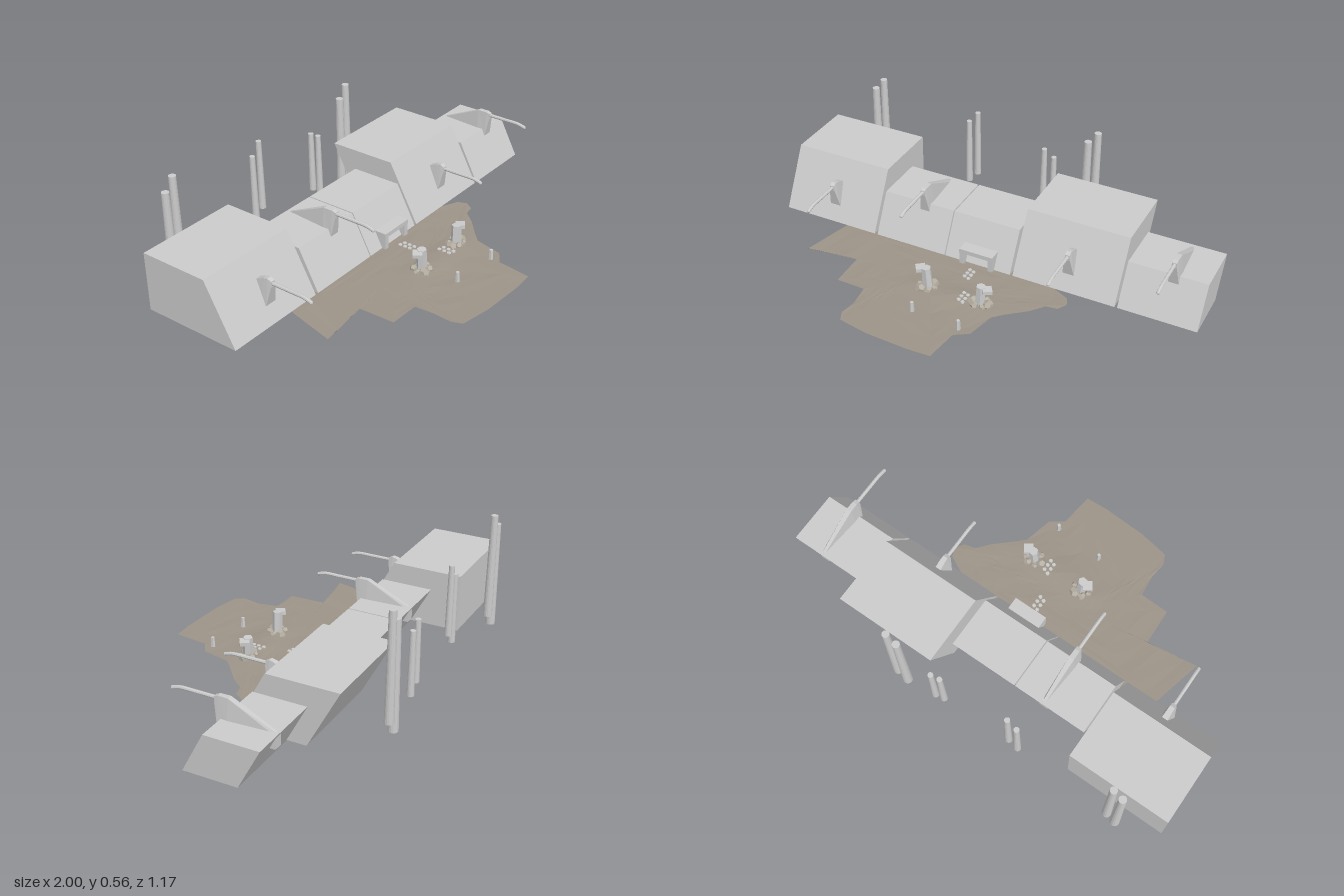
import * as THREE from 'three';

const mat = (color = 0xcccccc, extra = {}) => new THREE.MeshStandardMaterial({ color, flatShading: true, ...extra });
const GREY = mat(), PALE = mat(0xf4f4f4), STONE = mat(0xb5aea2);
const EARTH = mat(0x9d9488, { side: THREE.DoubleSide });

function add(parent, name, geo, material = GREY, pos = [0, 0, 0], rot = [0, 0, 0]) {
  const m = new THREE.Mesh(geo, material);
  m.name = name;
  m.position.set(...pos);
  m.rotation.set(...rot);
  parent.add(m);
  return m;
}

// Extrude a side profile of [z, y] points along x
function prism(points, x0, x1) {
  const shape = new THREE.Shape(points.map(([z, y]) => new THREE.Vector2(z, y)));
  const g = new THREE.ExtrudeGeometry(shape, { depth: x1 - x0, bevelEnabled: false });
  return g.rotateY(-Math.PI / 2).translate(x1, 0, 0);
}

// Loft trapezoid sections [z, yBottom, yTop, halfBottom, halfTop], listed back to front
function loft(sections) {
  const pos = [], idx = [];
  for (const [z, yb, yt, wb, wt] of sections) pos.push(-wb, yb, z, wb, yb, z, wt, yt, z, -wt, yt, z);
  const n = sections.length;
  for (let s = 0; s < n - 1; s++) {
    for (let k = 0; k < 4; k++) {
      const a = s * 4 + k, b = s * 4 + (k + 1) % 4;
      idx.push(a, b, b + 4, a, b + 4, a + 4);
    }
  }
  const e = (n - 1) * 4;
  idx.push(0, 2, 1, 0, 3, 2, e, e + 1, e + 2, e, e + 2, e + 3);
  const g = new THREE.BufferGeometry();
  g.setAttribute('position', new THREE.Float32BufferAttribute(pos, 3));
  g.setIndex(idx);
  g.computeVertexNormals();
  return g;
}

// Bracket with a long thin spout that droops at the tip
function spout(name, x, sections, y, z0, z1) {
  const g = new THREE.Group();
  g.name = name;
  add(g, 'bracket', loft(sections));
  const path = new THREE.CatmullRomCurve3([
    [0, y, z0], [0, y, (z0 + z1) / 2], [0, y - 0.001, z1 - 0.035], [0, y - 0.01, z1],
  ].map((p) => new THREE.Vector3(...p)));
  add(g, 'pipe', new THREE.TubeGeometry(path, 16, 0.008, 8));
  add(g, 'pipeTip', new THREE.SphereGeometry(0.008, 8, 6), GREY, [0, y - 0.01, z1 - 0.002]);
  g.position.x = x;
  return g;
}

// Uneven ground: rings shrinking from the outline to a centre
function groundGeometry() {
  const outline = [
    [-0.66, -0.1], [-0.68, -0.04], [-0.735, 0.185], [-0.5, 0.155], [-0.495, 0.32], [-0.36, 0.325],
    [-0.35, 0.42], [-0.36, 0.5], [-0.34, 0.545], [-0.2, 0.57], [0, 0.58], [0.1, 0.575],
    [0.12, 0.42], [0.18, 0.38], [0.21, 0.25], [0.25, 0.21], [0.33, 0.14], [0.38, 0.08],
    [0.43, 0.07], [0.455, 0.03], [0.44, -0.01], [0.36, -0.05], [0.34, -0.1], [-0.2, -0.1],
  ];
  const c = [-0.15, 0.1], rings = 10, n = outline.length, pos = [], idx = [];
  const height = (x, z) => 0.069 + 0.012 * Math.exp(-((x / 0.2) ** 2 + ((z - 0.2) / 0.07) ** 2))
    + 0.0015 * Math.sin(x * 31) * Math.cos(z * 37);
  for (let r = 0; r <= rings; r++) {
    for (const [ox, oz] of outline) {
      const x = c[0] + (ox - c[0]) * r / rings, z = c[1] + (oz - c[1]) * r / rings;
      pos.push(x, height(x, z), z);
    }
  }
  for (let r = 0; r < rings; r++) {
    for (let i = 0; i < n; i++) {
      const j = (i + 1) % n, a = r * n + i, b = r * n + j;
      if (r > 0) idx.push(a, b + n, b);
      idx.push(a, a + n, b + n);
    }
  }
  const g = new THREE.BufferGeometry();
  g.setAttribute('position', new THREE.Float32BufferAttribute(pos, 3));
  g.setIndex(idx);
  g.computeVertexNormals();
  return g;
}

export function createModel() {
  const model = new THREE.Group();
  model.name = 'slopedHallsWithGround';

  // Sloped blocks: [x0, x1, top, back at top, back at bottom]
  const blocks = [
    [-1, -0.53, 0.335, -0.51, -0.51], [-0.515, -0.17, 0.25, -0.38, -0.285],
    [-0.165, 0.152, 0.25, -0.38, -0.285], [0.165, 0.638, 0.335, -0.51, -0.37], [0.65, 1, 0.25, -0.38, -0.285],
  ];
  for (const [x0, x1, top, backTop, backBottom] of blocks) {
    const frontTop = top > 0.3 ? -0.19 : -0.142;
    add(model, 'block', prism([[-0.048, 0.07], [frontTop, top], [backTop, top], [backBottom, 0.07]], x0, x1));
  }

  // Spouts on the faces of the tall blocks
  for (const x of [-0.757, 0.408]) {
    model.add(spout('faceSpout', x, [
      [-0.15, 0.14, 0.235, 0.026, 0.014], [-0.105, 0.14, 0.255, 0.026, 0.012],
      [-0.083, 0.14, 0.26, 0.026, 0.011], [-0.065, 0.225, 0.25, 0.013, 0.01],
    ], 0.239, -0.08, 0.13));
  }

  // Spouts on the roofs of the low blocks, with a tail block under the back edge
  for (const x of [-0.308, 0.855]) {
    const s = spout('roofSpout', x, [
      [-0.37, 0.235, 0.247, 0.012, 0.006], [-0.17, 0.235, 0.338, 0.024, 0.012],
      [-0.127, 0.215, 0.338, 0.024, 0.011], [-0.11, 0.308, 0.332, 0.012, 0.01],
    ], 0.322, -0.13, 0.08);
    add(s, 'tailBlock', new THREE.BoxGeometry(0.04, 0.06, 0.032), GREY, [0, 0.216, -0.355]);
    model.add(s);
  }

  // Doorway in the middle block
  const door = new THREE.Group();
  door.name = 'doorway';
  add(door, 'lintel', new THREE.BoxGeometry(0.16, 0.02, 0.062), PALE, [0, 0.134, -0.06]);
  for (const s of [-1, 1]) add(door, 'jamb', new THREE.BoxGeometry(0.022, 0.056, 0.05), PALE, [s * 0.069, 0.097, -0.055]);
  door.position.x = -0.005;
  model.add(door);

  // Tapered columns behind the blocks: [x, bottom, top, radius]
  const columns = [
    [-0.81, 0, 0.5, 0.022], [-0.765, 0.06, 0.555, 0.021], [-0.312, 0.13, 0.45, 0.016], [-0.268, 0.18, 0.505, 0.016],
    [0.07, 0.12, 0.405, 0.016], [0.118, 0.08, 0.375, 0.016], [0.278, 0, 0.5, 0.022], [0.322, 0.06, 0.555, 0.021],
  ];
  for (const [x, y0, y1, r] of columns) {
    add(model, 'column', new THREE.CylinderGeometry(r * 0.76, r, y1 - y0, 16), GREY, [x, (y0 + y1) / 2, -0.567]);
  }

  add(model, 'ground', groundGeometry(), EARTH);

  // Two broken pillars with rubble at their feet
  [[-0.125, 0.175, 0.06], [0.13, 0.165, -0.06]].forEach(([x, top, lean], i) => {
    const p = new THREE.Group();
    p.name = 'brokenPillar';
    const h = top - 0.07;
    add(p, 'shaft', new THREE.CylinderGeometry(0.021, 0.024, h, 6), GREY, [0, h / 2, 0], [0, 0.4, lean]);
    add(p, 'cap', new THREE.BoxGeometry(0.042, 0.016, 0.042), GREY, [-lean * 0.5, h - 0.012, 0], [0, 0.6, lean]);
    for (let k = 0; k < 6; k++) {
      const a = k * 1.05 + i, size = 0.014 + 0.005 * (k % 3);
      add(p, 'rubble', new THREE.DodecahedronGeometry(size, 0), STONE,
        [Math.cos(a) * 0.036, 0.007, Math.sin(a) * 0.03], [a, k, 0]);
    }
    p.position.set(x, 0.07, 0.19);
    model.add(p);
  });

  // Short posts near the front edge
  for (const [x, z] of [[-0.105, 0.358], [0.122, 0.375]]) {
    add(model, 'post', new THREE.CylinderGeometry(0.008, 0.011, 0.045, 6), GREY, [x, 0.092, z]);
  }

  // Pale paving stones by the door and between the pillars
  for (let k = 0; k < 12; k++) {
    const near = k < 6, j = k % 6;
    const x = (near ? -0.018 : 0.04) + (j % 2) * 0.022, z = (near ? 0.0 : 0.165) + Math.floor(j / 2) * 0.025 + (j % 2) * 0.008;
    add(model, 'pavingStone', new THREE.CylinderGeometry(0.009, 0.01, 0.006, 6), PALE, [x, near ? 0.071 : 0.08, z]);
  }
  return model;
}
